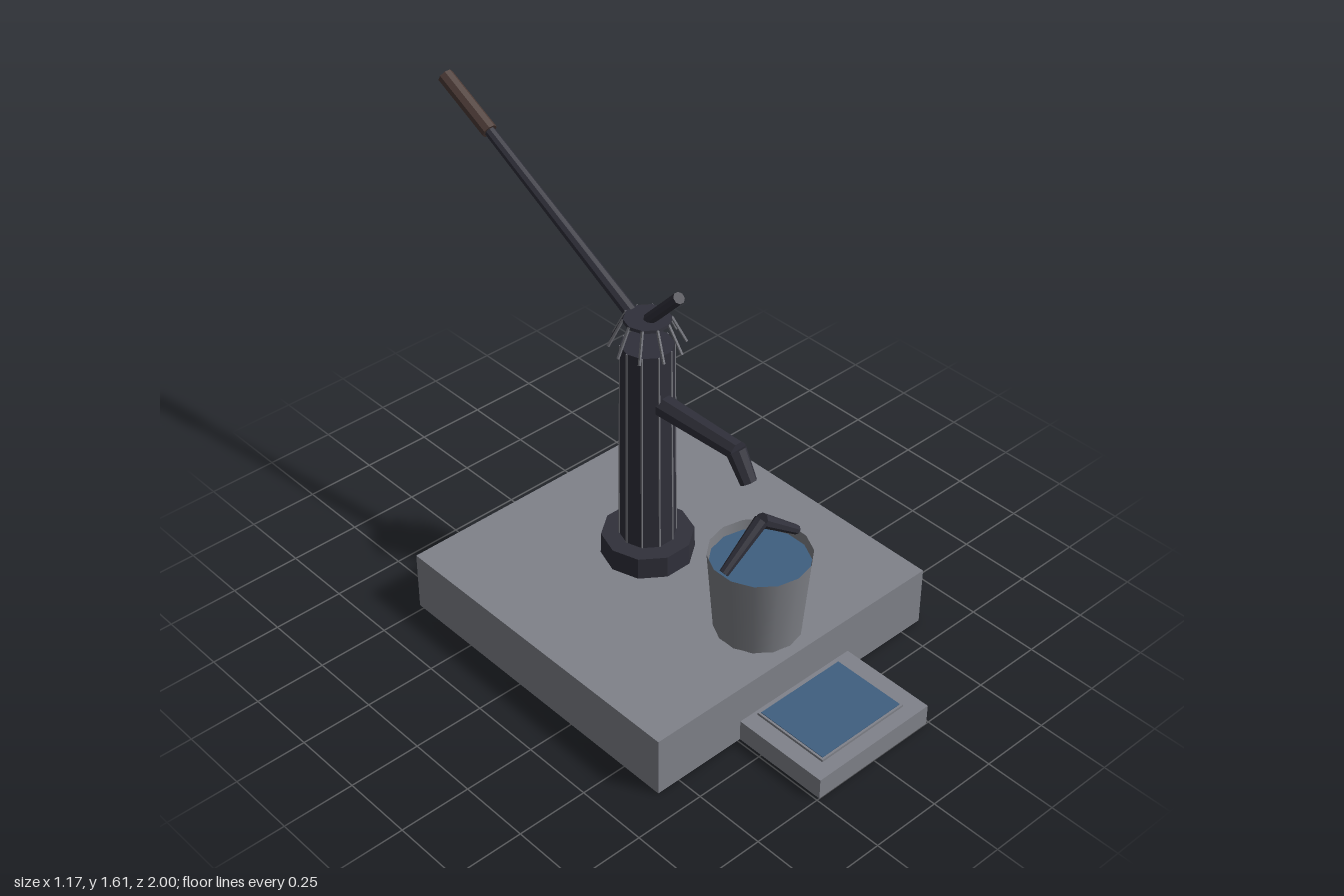
import * as THREE from 'three';

const SIDES = 10;
const FLAT_FRONT = Math.PI / SIDES; // turns a flat face towards the front
const PUMP_Z = -0.033;
const BUCKET_Z = 0.483;

const mat = (name, color, extra = {}) => {
  const m = new THREE.MeshStandardMaterial({ color, ...extra });
  m.name = name;
  return m;
};

export function createModel() {
  const stone = mat('stoneGrey', 0x80828a, { side: THREE.DoubleSide });
  const pail = mat('pailGrey', 0x7e8086, { side: THREE.DoubleSide });
  const iron = mat('darkIron', 0x30303a, { flatShading: true, side: THREE.DoubleSide });
  const edge = mat('wornEdge', 0x74757c, { flatShading: true });
  const grip = mat('brownGrip', 0x4c3b36, { flatShading: true });
  const water = mat('waterBlue', 0x3f5f80);

  const model = new THREE.Group();
  const add = (name, geometry, material, x = 0, y = 0, z = 0) => {
    const mesh = new THREE.Mesh(geometry, material);
    mesh.name = name;
    mesh.position.set(x, y, z);
    model.add(mesh);
    return mesh;
  };

  // Box without its underside, standing on y = 0
  const hollowBox = (w, h, d) => {
    const g = new THREE.BoxGeometry(w, h, d);
    const index = Array.from(g.index.array);
    index.splice(18, 6);
    g.setIndex(index);
    g.clearGroups();
    return g.translate(0, h / 2, 0);
  };

  // Straight tapered bar from point a to point b
  const rod = (name, a, b, ra, rb, material, sides = 8) => {
    const from = new THREE.Vector3(...a);
    const dir = new THREE.Vector3(...b).sub(from);
    const g = new THREE.CylinderGeometry(rb, ra, dir.length(), sides, 1, false, Math.PI / sides);
    g.translate(0, dir.length() / 2, 0);
    const mesh = add(name, g, material, ...a);
    mesh.quaternion.setFromUnitVectors(new THREE.Vector3(0, 1, 0), dir.normalize());
    return mesh;
  };

  // Ten-sided upright section of the pump
  const section = (name, rTop, rBottom, y0, y1) => add(name,
    new THREE.CylinderGeometry(rTop, rBottom, y1 - y0, SIDES, 1, false, FLAT_FRONT),
    iron, 0, (y0 + y1) / 2, PUMP_Z);

  // Platform and the shallow basin in front of it
  add('platform', hollowBox(1.17, 0.215, 1.175), stone, 0, 0, 0.0675);
  add('basin', hollowBox(0.48, 0.076, 0.345), stone, 0, 0, 0.8275);
  add('basinRim', new THREE.BoxGeometry(0.36, 0.009, 0.28), stone, 0, 0.0805, 0.81);
  add('basinWater', new THREE.BoxGeometry(0.345, 0.003, 0.265), water, 0, 0.0855, 0.81);

  // Pump body
  section('pumpFoot', 0.154, 0.156, 0.215, 0.293);
  section('pumpColumn', 0.086, 0.094, 0.293, 1.035);
  section('capDisc', 0.076, 0.078, 1.122, 1.132);

  // Worn column edges and the open ribs of the cap
  for (let i = 0; i < SIDES; i++) {
    const t = FLAT_FRONT + (i * 2 * Math.PI) / SIDES;
    const at = (r, y) => [r * Math.sin(t), y, PUMP_Z + r * Math.cos(t)];
    rod('columnEdge', at(0.0925, 0.293), at(0.0845, 1.035), 0.004, 0.004, edge, 4);
    rod('capRib', at(0.122, 1.035), at(0.075, 1.13), 0.005, 0.005, edge, 4);
  }

  // The one closed panel of the cap, at the back
  add('capPanel', new THREE.CylinderGeometry(0.076, 0.124, 0.095, 1, 1, true,
    FLAT_FRONT * 11, FLAT_FRONT * 2), iron, 0, 1.0825, PUMP_Z);

  // Spout with its bent nozzle
  rod('spout', [0, 0.838, 0.03], [0, 0.845, 0.375], 0.04, 0.033, iron);
  rod('nozzle', [0, 0.845, 0.365], [0, 0.755, 0.423], 0.034, 0.028, iron);

  // Pump handle, its grip and the short lever
  rod('handleShaft', [0, 1.1, -0.085], [0, 1.485, -0.79], 0.023, 0.018, iron);
  rod('handleGrip', [0, 1.475, -0.772], [0, 1.588, -0.988], 0.027, 0.027, grip);
  rod('lever', [0, 1.13, -0.025], [0, 1.272, 0.108], 0.02, 0.02, iron);

  // Bucket
  add('bucketWall', new THREE.CylinderGeometry(0.167, 0.143, 0.29, 14, 1, true),
    pail, 0, 0.37, BUCKET_Z);
  add('bucketFloor', new THREE.CircleGeometry(0.143, 14).rotateX(-Math.PI / 2),
    pail, 0, 0.226, BUCKET_Z);
  add('bucketWater', new THREE.CircleGeometry(0.162, 14, Math.PI / 2).rotateX(-Math.PI / 2),
    water, 0, 0.48, BUCKET_Z);
  for (const s of [-1, 1]) {
    rod('bucketHandle', [s * 0.157, 0.52, BUCKET_Z], [0, 0.643, BUCKET_Z], 0.016, 0.024, iron);
  }

  return model;
}
